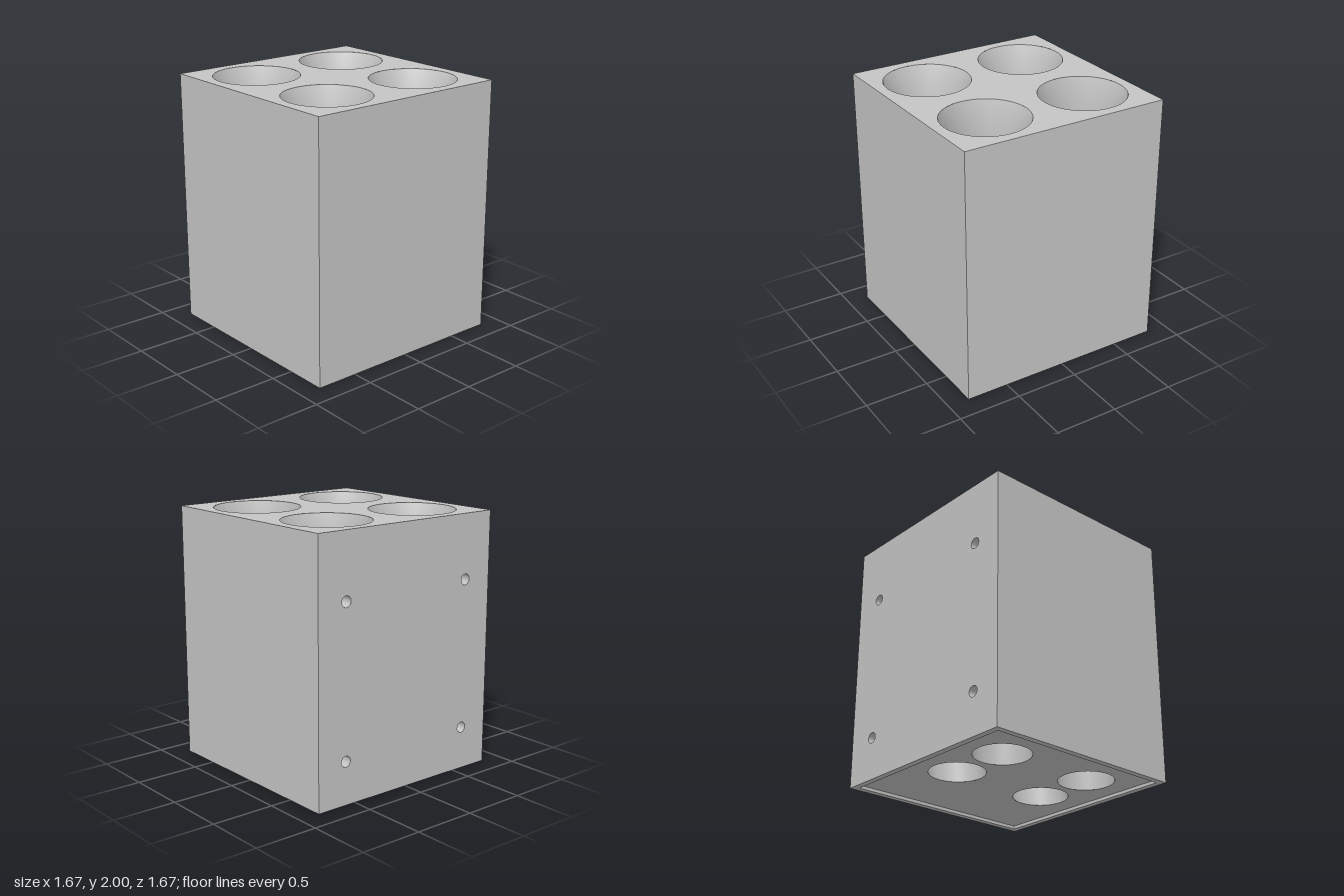
import * as THREE from 'three';

const HALF = 0.833, TOP = 2, RECESS = 0.025, INNER = HALF - 0.05;
const BORE_X = 0.417, BORE_R = 0.333, TUBE_R = 0.213, FUNNEL_Y = TOP - 0.333;
const SCREW_R = 0.042, SCREW_DEPTH = 0.17, SEG = 64;

// Rectangle with circular cut-outs given as [x, y, radius]
function plate(x0, y0, x1, y1, circles) {
  const shape = new THREE.Shape([[x0, y0], [x1, y0], [x1, y1], [x0, y1]].map((p) => new THREE.Vector2(...p)));
  for (const [x, y, r] of circles) {
    shape.holes.push(new THREE.Path().absarc(x, y, r, 0, Math.PI * 2, false));
  }
  return new THREE.ShapeGeometry(shape, SEG);
}

// Inward-facing tube lofted through horizontal rings given as [y, z, radius]
function bore(rings) {
  const pos = [], index = [];
  for (const [y, z, r] of rings) {
    for (let i = 0; i < SEG; i++) {
      const a = (i / SEG) * Math.PI * 2;
      pos.push(r * Math.cos(a), y, z + r * Math.sin(a));
    }
  }
  for (let k = 0; k < rings.length - 1; k++) {
    for (let i = 0; i < SEG; i++) {
      const j = (i + 1) % SEG, p = k * SEG, q = p + SEG;
      index.push(p + i, q + i, p + j, p + j, q + i, q + j);
    }
  }
  const geo = new THREE.BufferGeometry();
  geo.setAttribute('position', new THREE.Float32BufferAttribute(pos, 3));
  geo.setIndex(index);
  geo.computeVertexNormals();
  return geo;
}

export function createModel() {
  const model = new THREE.Group();
  const grey = new THREE.MeshStandardMaterial({ color: 0xc4c4c4 });
  grey.name = 'plain grey';
  const add = (name, geo, parent = model) => {
    const mesh = new THREE.Mesh(geo, grey);
    mesh.name = name;
    parent.add(mesh);
    return mesh;
  };

  // Each bore: centre x, z at the mouth, z at the outlet; the rear pair slopes forward
  const bores = [];
  for (const x of [-BORE_X, BORE_X]) bores.push([x, BORE_X, BORE_X], [x, -BORE_X, -0.077]);

  // Top face, with the bore mouths
  add('topFace', plate(-HALF, -HALF, HALF, HALF, bores.map(([x, z]) => [x, -z, BORE_R]))
    .rotateX(-Math.PI / 2)).position.y = TOP;

  // Recessed underside, with the bore outlets
  add('underside', plate(-INNER, -INNER, INNER, INNER, bores.map(([x, , z]) => [x, z, TUBE_R]))
    .rotateX(Math.PI / 2)).position.y = RECESS;

  // Narrow rim around the recess
  const rim = new THREE.Shape([[-1, -1], [1, -1], [1, 1], [-1, 1]].map(([x, y]) => new THREE.Vector2(x * HALF, y * HALF)));
  rim.holes.push(new THREE.Path([[-1, -1], [-1, 1], [1, 1], [1, -1]].map(([x, y]) => new THREE.Vector2(x * INNER, y * INNER))));
  add('bottomRim', new THREE.ShapeGeometry(rim).rotateX(Math.PI / 2));

  // Outer walls and recess walls; the right wall has four screw holes
  const screws = [];
  for (const z of [-0.583, 0.583]) for (const y of [0.333, 1.5]) screws.push([z, y, SCREW_R]);
  ['frontWall', 'leftWall', 'backWall', 'rightWall'].forEach((name, i) => {
    const angle = (i * Math.PI) / 2;
    add(name, plate(-HALF, 0, HALF, TOP, i === 3 ? screws : []).translate(0, 0, HALF).rotateY(angle));
    add('recessWall', plate(-INNER, 0, INNER, RECESS, []).translate(0, 0, -INNER).rotateY(angle));
  });

  // Funnel-mouthed bores running straight through the block
  for (const [x, z0, z1] of bores) {
    const zMid = z0 + ((z1 - z0) * (TOP - FUNNEL_Y)) / (TOP - RECESS);
    add('funnelBore', bore([[TOP, z0, BORE_R], [FUNNEL_Y, zMid, TUBE_R], [RECESS, z1, TUBE_R]])).position.x = x;
  }

  // Blind screw holes
  for (const [z, y] of screws) {
    const hole = new THREE.Group();
    hole.name = 'screwHole';
    add('screwHoleWall', bore([[0, 0, SCREW_R], [-SCREW_DEPTH, 0, SCREW_R]]), hole);
    add('screwHoleEnd', new THREE.CircleGeometry(SCREW_R, SEG).rotateX(-Math.PI / 2), hole).position.y = -SCREW_DEPTH;
    hole.rotation.z = Math.PI / 2;
    hole.position.set(-HALF, y, z);
    model.add(hole);
  }

  return model;
}
